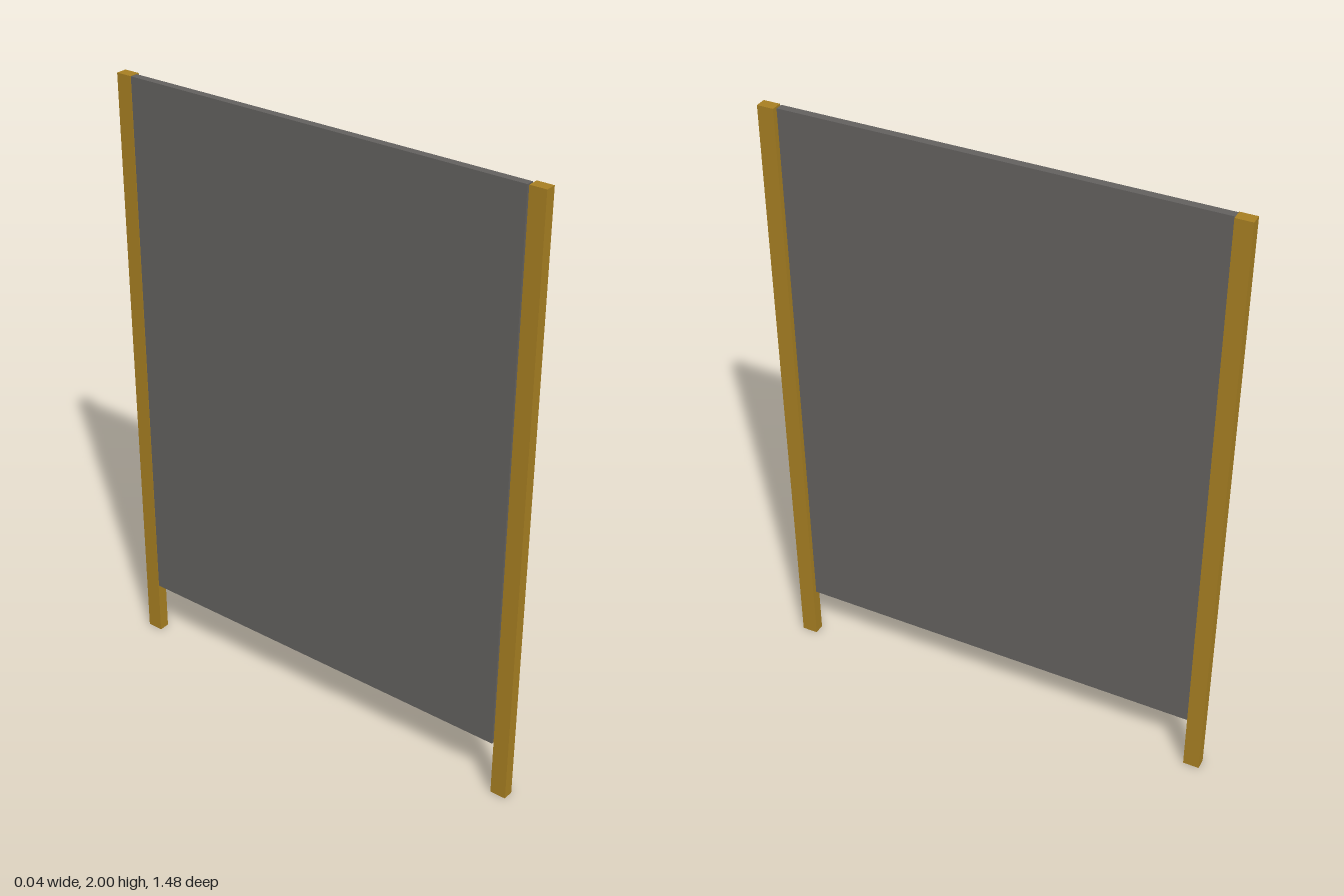
import * as THREE from 'three';

export function createModel() {
  const model = new THREE.Group();
  model.name = 'screenPanel';

  const wood = new THREE.MeshStandardMaterial({ color: 0xa67e22 });
  wood.name = 'ochre wood';
  const slate = new THREE.MeshStandardMaterial({ color: 0x62605e });
  slate.name = 'dark grey';

  // Box given by its minimum and maximum corners
  function box(name, material, min, max) {
    const size = max.map((v, i) => v - min[i]);
    const mesh = new THREE.Mesh(new THREE.BoxGeometry(...size), material);
    mesh.position.set(...max.map((v, i) => (v + min[i]) / 2));
    mesh.name = name;
    model.add(mesh);
  }

  // Upright posts at both ends
  box('frontPost', wood, [-0.018, 0, 0.685], [0.018, 2, 0.738]);
  box('backPost', wood, [-0.018, 0, -0.738], [0.018, 2, -0.685]);

  // Thin panel hung between the posts, slightly off centre
  box('panel', slate, [-0.016, 0.185, -0.685], [0.009, 1.999, 0.679]);

  return model;
}
